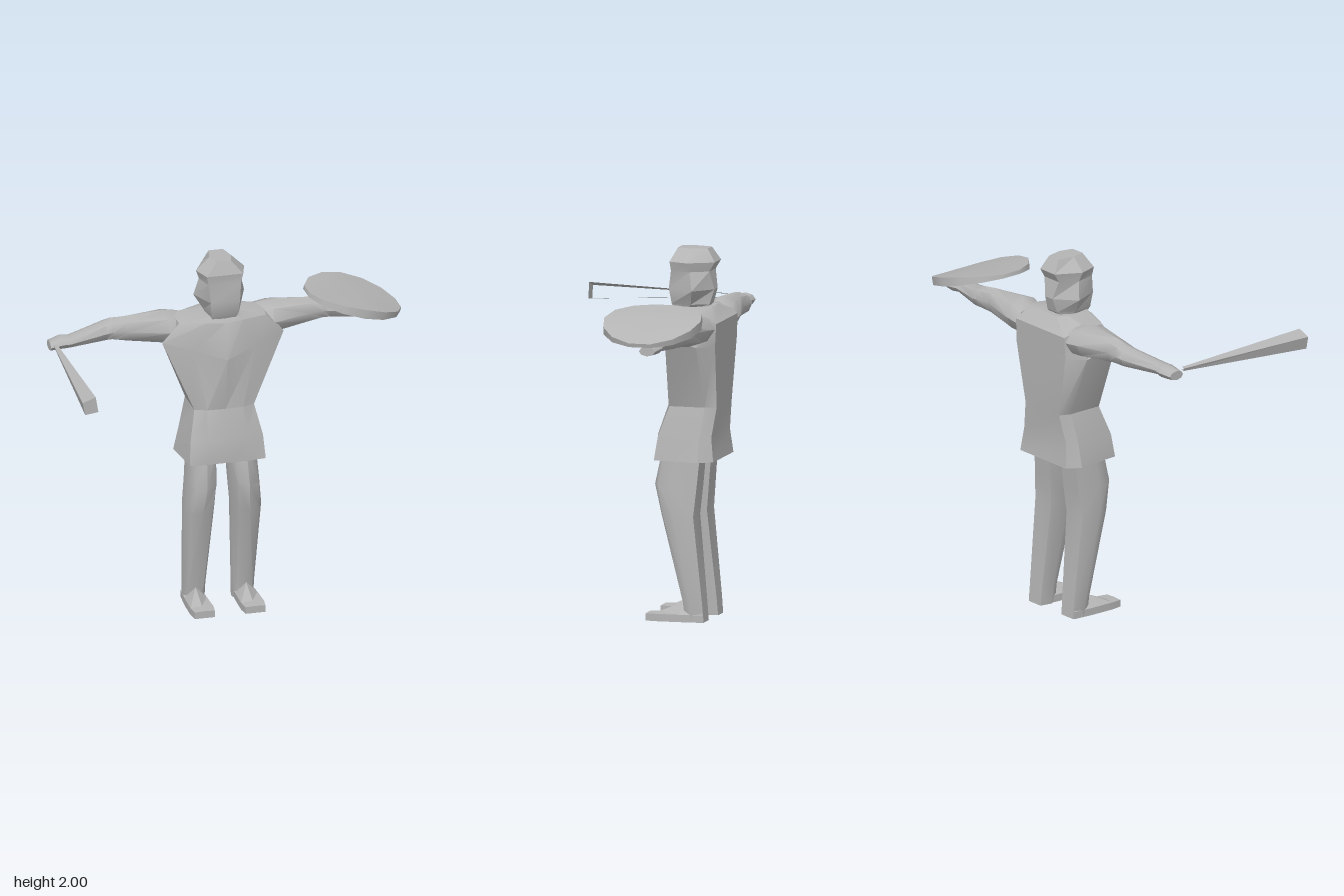
import * as THREE from 'three';
import { toCreasedNormals } from 'three/addons/utils/BufferGeometryUtils.js';

const grey = new THREE.MeshStandardMaterial({ color: 0xb4b4b4 });
grey.name = 'plain grey';

// Skin a closed solid through cross-sections with equal point counts, facing outwards
function loft(rings, crease = 0.7) {
  const n = rings[0].length, pts = rings.flat(), idx = [];
  for (let r = 0; r < rings.length - 1; r++) {
    for (let i = 0; i < n; i++) {
      const a = r * n + i, b = r * n + (i + 1) % n;
      idx.push(a, b, b + n, a, b + n, a + n);
    }
  }
  const last = (rings.length - 1) * n;
  for (let i = 1; i < n - 1; i++) {
    idx.push(0, i + 1, i, last, last + i, last + i + 1);
  }
  let volume = 0;
  const v = pts.map(p => new THREE.Vector3(...p));
  for (let i = 0; i < idx.length; i += 3) {
    volume += v[idx[i]].dot(v[idx[i + 1]].clone().cross(v[idx[i + 2]]));
  }
  if (volume < 0) idx.reverse();
  const g = new THREE.BufferGeometry();
  g.setAttribute('position', new THREE.Float32BufferAttribute(pts.flat(), 3));
  g.setIndex(idx);
  return toCreasedNormals(g, crease);
}

// Half section, front to back, mirrored to a full ring; a point on x = 0 is not doubled
const mirrorRing = half => [
  ...half,
  ...half.filter(p => p[0] !== 0).reverse().map(([x, y, z]) => [-x, y, z]),
];

function add(group, name, geometry) {
  const mesh = new THREE.Mesh(geometry, grey);
  mesh.name = name;
  group.add(mesh);
  return mesh;
}

function torso() {
  return loft([
    [[0, .87, -.13], [.12, .87, -.13], [.21, .87, -.14], [.235, .87, -.39], [.19, .87, -.465]],
    [[0, 1.0, -.13], [.11, 1.0, -.135], [.2, 1.0, -.16], [.205, 1.0, -.39], [.175, 1.0, -.45]],
    [[0, 1.16, -.185], [.1, 1.16, -.19], [.165, 1.16, -.215], [.165, 1.16, -.41], [.14, 1.16, -.47]],
    [[0, 1.46, -.14], [.17, 1.51, -.19], [.335, 1.555, -.24], [.29, 1.5, -.4], [.205, 1.5, -.48]],
    [[0, 1.65, -.195], [.1, 1.66, -.2], [.24, 1.655, -.25], [.25, 1.67, -.38], [.2, 1.62, -.485]],
    [[0, 1.68, -.22], [.07, 1.69, -.22], [.1, 1.69, -.27], [.1, 1.69, -.37], [.06, 1.69, -.42]],
  ].map(mirrorRing), 0.45);
}

function head() {
  // y, front half width, front z, side half width, side z, back half width, back z
  return loft([
    [1.66, .06, -.22, .07, -.28, .05, -.36],
    [1.70, .075, -.2, .09, -.31, .04, -.4],
    [1.78, .08, -.185, .14, -.33, .03, -.425],
    [1.88, .09, -.2, .115, -.31, .06, -.405],
    [1.93, .1, -.195, .133, -.3, .06, -.435],
    [2.0, .04, -.225, .06, -.3, .04, -.39],
  ].map(([y, a, zf, w, zs, b, zb]) => mirrorRing([[a, y, zf], [w, y, zs], [b, y, zb]])), 0.4);
}

function arm(side) {
  // x, y centre, z centre, half height, half depth
  return loft([
    [.2, 1.59, -.38, .08, .1],
    [.29, 1.6, -.365, .093, .112],
    [.5, 1.608, -.37, .072, .062],
    [.58, 1.61, -.382, .062, .062],
    [.62, 1.605, -.38, .057, .06],
    [.83, 1.587, -.325, .032, .05],
    [.87, 1.587, -.33, .036, .055],
    [.94, 1.577, -.32, .026, .045],
  ].map(([x, y, z, ry, rz]) => Array.from({ length: 8 }, (_, i) => {
    const t = i * Math.PI / 4;
    return [side * x, y + ry * Math.cos(t), z + rz * Math.sin(t)];
  })), 0.8);
}

function leg(side) {
  // rounded front and flat back; y, x centre, half width, front z, back z
  const section = [[0, 0], [.7, .12], [1, .45], [.8, 1], [-.8, 1], [-1, .45], [-.7, .12]];
  return loft([
    [.9, .11, .075, -.155, -.385],
    [.73, .117, .08, -.12, -.37],
    [.57, .13, .083, -.16, -.355],
    [.1, .135, .063, -.28, -.402],
    [0, .135, .06, -.29, -.41],
  ].map(([y, c, w, f, b]) => section.map(([u, v]) => [side * (c + u * w), y, f + (b - f) * v])), 0.8);
}

function foot(side) {
  // z, side height, ridge height, half width
  return loft([
    [-.405, .04, .06, .05], [-.28, .04, .1, .06], [-.15, .04, .045, .063], [-.09, .038, .04, .055],
  ].map(([z, h, ridge, w]) => [[-w, 0], [w, 0], [w, h], [0, ridge], [-w, h]]
    .map(([x, y]) => [side * .14 + x, y, z])), 0.3);
}

// Fourteen-sided shield, its top curved across the width
function shield() {
  const g = new THREE.CylinderGeometry(.268, .268, .02, 14, 4);
  const p = g.attributes.position;
  for (let i = 0; i < p.count; i++) {
    if (p.getY(i) > 0) {
      const u = p.getX(i) / .268;
      p.setY(i, p.getY(i) + .03 * (1 - u * u));
    }
  }
  return toCreasedNormals(g, 0.5);
}

// Tapering open-sided blade, with its upper and lower faces showing from both sides
function sword() {
  const tip = [[-.987, 1.605], [-.915, 1.632], [-.9, 1.545], [-.973, 1.535]];
  const hilt = [[-.93, 1.6], [-.912, 1.605], [-.907, 1.59], [-.925, 1.585]];
  const pts = [...tip.map(p => [...p, .555]), ...hilt.map(p => [...p, -.26])];
  const quads = [
    [0, 1, 5, 4], [4, 5, 1, 0],
    [2, 3, 7, 6], [6, 7, 3, 2],
    [0, 4, 7, 3],
    [0, 3, 2, 1], [1, 2, 3, 0],
  ];
  const g = new THREE.BufferGeometry();
  const flat = quads.flatMap(([a, b, c, d]) => [a, b, c, a, c, d]).flatMap(i => pts[i]);
  g.setAttribute('position', new THREE.Float32BufferAttribute(flat, 3));
  g.computeVertexNormals();
  return g;
}

export function createModel() {
  const model = new THREE.Group();
  model.name = 'warrior';
  add(model, 'tunic', torso());
  add(model, 'helmetedHead', head());
  for (const [side, label] of [[1, 'left'], [-1, 'right']]) {
    add(model, label + 'Arm', arm(side));
    add(model, label + 'Leg', leg(side));
    add(model, label + 'Foot', foot(side));
  }
  const disc = add(model, 'shield', shield());
  disc.position.set(.727, 1.68, -.29);
  disc.rotation.z = -.26;
  add(model, 'sword', sword());
  return model;
}
